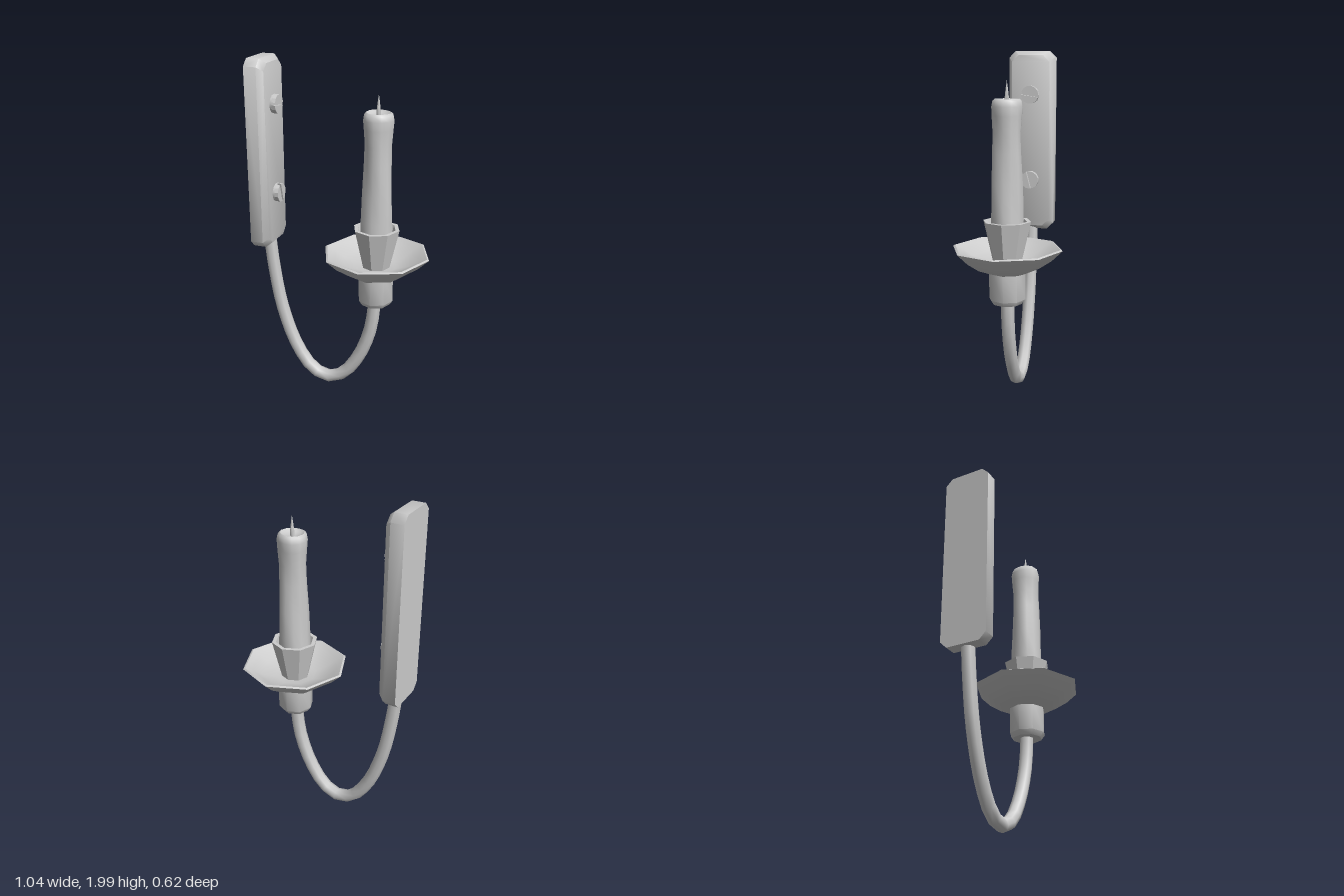
import * as THREE from 'three';
import { mergeVertices, toCreasedNormals } from 'three/addons/utils/BufferGeometryUtils.js';
import { ConvexGeometry } from 'three/addons/geometries/ConvexGeometry.js';

const CUP_X = 0.205;

export function createModel() {
  const model = new THREE.Group();
  const material = new THREE.MeshStandardMaterial({ color: 0xcccccc });

  const add = (name, geometry, parent = model) => {
    const mesh = new THREE.Mesh(geometry, material);
    mesh.name = name;
    parent.add(mesh);
    return mesh;
  };
  const v2 = (points) => points.map(([x, y]) => new THREE.Vector2(x, y));
  const lathe = (points, sides, crease) =>
    toCreasedNormals(new THREE.LatheGeometry(v2(points), sides), crease);

  // Wall plate: chamfered outline, with the front edge bevelled inwards
  const platePoints = [];
  for (const [x, inset] of [[-0.52, 0], [-0.445, 0], [-0.412, 0.025]]) {
    const w = 0.14 - inset, h = 0.5475 - inset, c = 0.04;
    for (const sy of [-1, 1]) for (const sz of [-1, 1]) {
      platePoints.push(
        new THREE.Vector3(x, 1.4525 + sy * h, sz * (w - c)),
        new THREE.Vector3(x, 1.4525 + sy * (h - c), sz * w));
    }
  }
  const plate = new ConvexGeometry(platePoints);
  plate.deleteAttribute('normal');
  add('wallPlate', toCreasedNormals(mergeVertices(plate), 0.9));

  // Slotted screws: a base disc carrying two half-round cheeks
  [[1.74, Math.PI / 2 - 0.15], [1.22, 0.25]].forEach(([y, turn], i) => {
    const screw = new THREE.Group();
    screw.name = i ? 'lowerScrew' : 'upperScrew';
    const r = 0.054, gap = 0.008;
    const base = new THREE.CylinderGeometry(r, r, 0.025, 12).rotateX(Math.PI / 2);
    add('screwBase', base, screw);
    const start = Math.asin(gap / r);
    const arc = [];
    for (let k = 0; k <= 6; k++) {
      const a = start + (Math.PI - 2 * start) * k / 6;
      arc.push([r * Math.cos(a), r * Math.sin(a)]);
    }
    for (const half of [0, 1]) {
      const cheek = new THREE.ExtrudeGeometry(new THREE.Shape(v2(arc)), { depth: 0.022, bevelEnabled: false });
      add('screwCheek', cheek.rotateZ(half * Math.PI), screw).position.z = 0.012;
    }
    const holder = new THREE.Group();
    holder.name = 'screwMount';
    screw.rotation.z = turn + Math.PI / 2;
    holder.add(screw);
    holder.rotation.y = Math.PI / 2;
    holder.position.set(-0.413, y, 0);
    model.add(holder);
  });

  // Curved arm
  const armPath = new THREE.CatmullRomCurve3([
    [-0.465, 0.95], [-0.445, 0.76], [-0.395, 0.48], [-0.305, 0.23], [-0.2, 0.085],
    [-0.1, 0.045], [0, 0.085], [0.1, 0.22], [0.17, 0.4], [0.195, 0.55], [0.2, 0.66],
  ].map(([x, y]) => new THREE.Vector3(x, y, 0)));
  add('arm', new THREE.TubeGeometry(armPath, 22, 0.039, 8));

  const holder = new THREE.Group();
  holder.name = 'candleHolder';
  holder.position.x = CUP_X;
  model.add(holder);

  // Eight-sided collar, drip dish and socket
  add('collar', lathe([[0, 0.608], [0.085, 0.608], [0.104, 0.635], [0.104, 0.82], [0, 0.82]], 8, 0.9), holder);
  add('dripDish', lathe([
    [0, 0.77], [0.1, 0.785], [0.18, 0.815], [0.25, 0.862], [0.312, 0.922],
    [0.3, 0.928], [0.255, 0.905], [0.2, 0.872], [0.12, 0.845], [0, 0.845],
  ], 8, 0.9), holder);
  add('socket', lathe([
    [0.078, 0.83], [0.135, 1.077], [0.112, 1.077], [0.09, 1.0], [0, 1.0],
  ], 8, 0.7), holder);

  // Candle: slightly uneven wax with a melted hollow on top
  const candle = new THREE.LatheGeometry(v2([
    [0, 0.99], [0.092, 0.99], [0.09, 1.12], [0.085, 1.28], [0.079, 1.45], [0.077, 1.56],
    [0.083, 1.65], [0.086, 1.7], [0.08, 1.73], [0.068, 1.74], [0.05, 1.728], [0, 1.718],
  ]), 12);
  const p = candle.attributes.position;
  for (let i = 0; i < p.count; i++) {
    const x = p.getX(i), y = p.getY(i), z = p.getZ(i);
    const a = Math.atan2(x, z);
    const s = 1 + 0.035 * Math.sin(3 * a + y * 9) + 0.02 * Math.cos(2 * a - y * 5);
    p.setXYZ(i, x * s, y, z * s);
  }
  add('candle', toCreasedNormals(candle, 1.2), holder);

  // Wick
  add('wick', lathe([[0.012, 1.715], [0.012, 1.745], [0.007, 1.79], [0, 1.838]], 6, 1.1), holder);

  return model;
}
